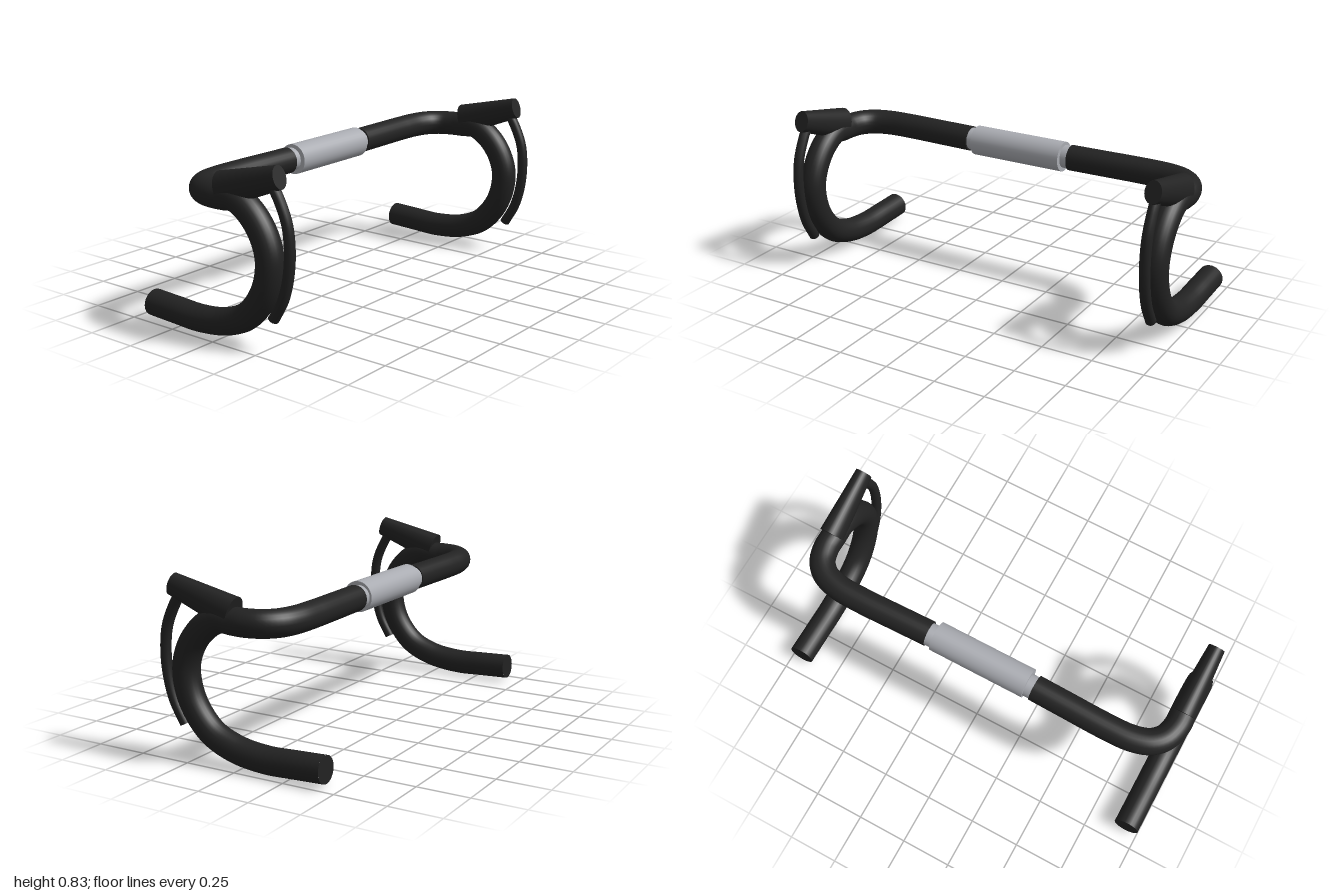
import * as THREE from 'three';

const v = (x, y, z) => new THREE.Vector3(x, y, z);
const BAR_Y = 0.653, SIDE_Z = 0.9375;

export function createModel() {
  const model = new THREE.Group();
  model.name = 'dropHandlebar';

  const black = new THREE.MeshStandardMaterial({ color: 0x222222 });
  black.name = 'blackTape';
  const silver = new THREE.MeshStandardMaterial({ color: 0xa9abb1 });
  silver.name = 'silverMetal';

  const add = (parent, name, geometry, material) => {
    const mesh = new THREE.Mesh(geometry, material);
    mesh.name = name;
    parent.add(mesh);
    return mesh;
  };

  // Tube along a smooth path, closed with a disc at each end
  const cappedTube = (parent, name, points, radius, segments, sides) => {
    const curve = new THREE.CatmullRomCurve3(points, false, 'centripetal');
    add(parent, name, new THREE.TubeGeometry(curve, segments, radius, sides), black);
    for (const t of [0, 1]) {
      const cap = add(parent, name + 'End', new THREE.CircleGeometry(radius, sides), black);
      const out = curve.getTangent(t).multiplyScalar(t ? 1 : -1);
      cap.position.copy(curve.getPoint(t));
      cap.quaternion.setFromUnitVectors(v(0, 0, 1), out);
    }
  };

  // Bare core and thicker clamp sleeve in the middle
  const core = add(model, 'barCore', new THREE.CylinderGeometry(0.056, 0.056, 0.6, 32), silver);
  core.rotation.x = Math.PI / 2;
  core.position.set(-0.182, BAR_Y, 0);
  const sleeve = add(model, 'clampSleeve', new THREE.CylinderGeometry(0.073, 0.073, 0.49, 32), silver);
  sleeve.rotation.x = Math.PI / 2;
  sleeve.position.set(-0.175, BAR_Y, 0);

  for (const s of [1, -1]) {
    const side = new THREE.Group();
    side.name = s > 0 ? 'frontSide' : 'backSide';
    model.add(side);

    // Taped bar: straight top, forward bend, then the hook down to the grip
    const top = [
      [-0.18, 0.28], [-0.184, 0.45], [-0.188, 0.65], [-0.182, 0.78],
      [-0.155, 0.865], [-0.105, 0.915], [-0.03, SIDE_Z],
    ].map(([x, z]) => v(x, BAR_Y, z * s));
    const drop = [
      [0.03, 0.654], [0.1, 0.656], [0.19, 0.603], [0.258, 0.515], [0.287, 0.41],
      [0.257, 0.27], [0.16, 0.145], [0.03, 0.086], [-0.13, 0.0645], [-0.28, 0.069], [-0.425, 0.075],
    ].map(([x, y]) => v(x, y, SIDE_Z * s));
    cappedTube(side, 'tapedBar', [...top, ...drop], 0.0625, 120, 24);

    // Tapered oval brake hood, tilted up towards its tip
    const hood = add(side, 'brakeHood', new THREE.CylinderGeometry(0.052, 0.079, 0.335, 32), black);
    hood.scale.z = 0.76;
    hood.rotation.z = THREE.MathUtils.degToRad(17) - Math.PI / 2;
    hood.position.set(0.188, 0.7335, SIDE_Z * s);

    // Curved brake lever
    const lever = [
      [0.305, 0.75], [0.345, 0.685], [0.385, 0.59], [0.398, 0.48],
      [0.388, 0.36], [0.358, 0.255], [0.302, 0.156],
    ].map(([x, y]) => v(x, y, SIDE_Z * s));
    cappedTube(side, 'brakeLever', lever, 0.025, 40, 12);
  }
  return model;
}
